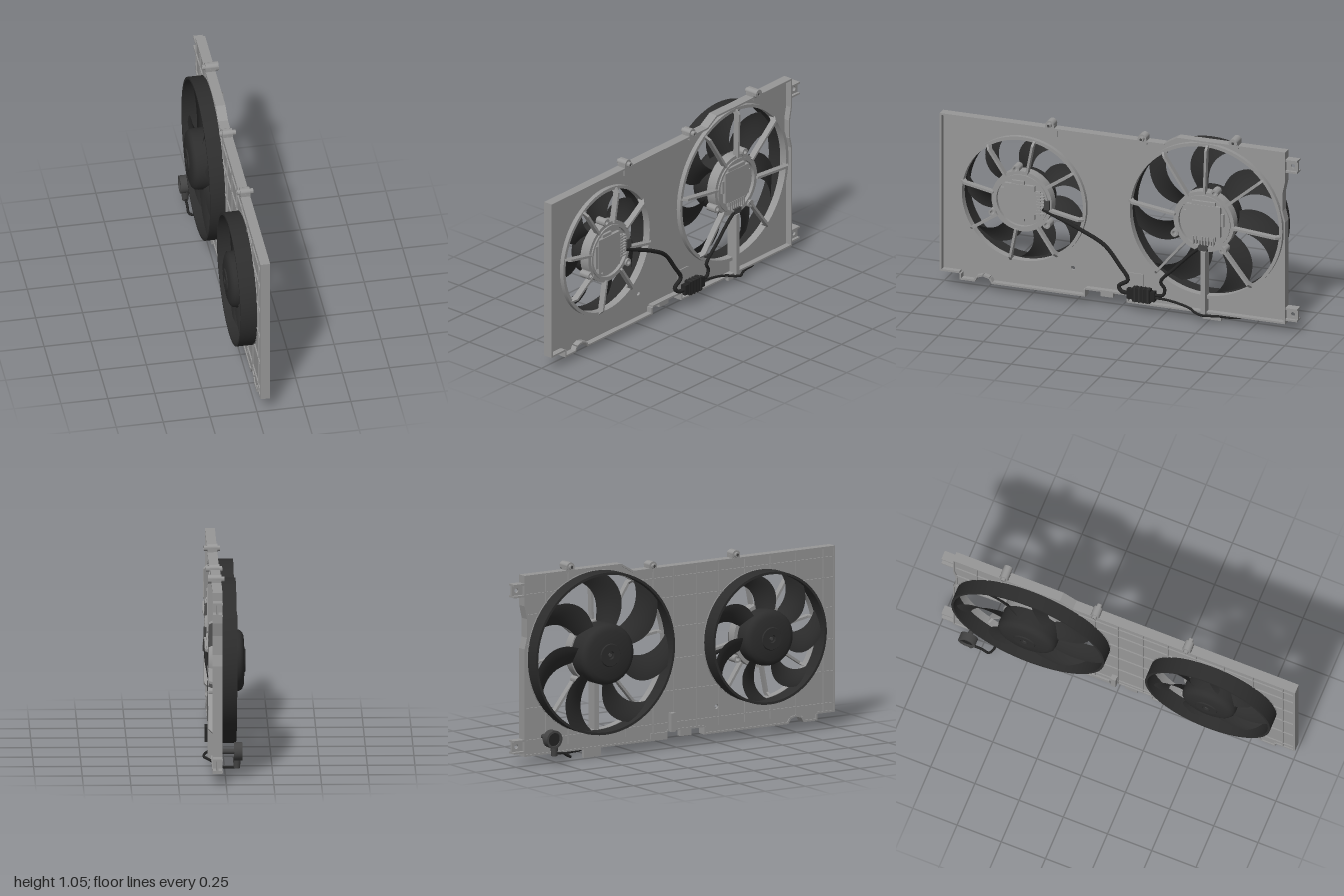
import * as THREE from 'three';
import { toCreasedNormals } from 'three/addons/utils/BufferGeometryUtils.js';

const mat = (name, color, side = THREE.FrontSide) => {
  const m = new THREE.MeshStandardMaterial({ color, side });
  m.name = name;
  return m;
};

// Built lying in a plane: local x runs along the panel, y is up, z is the depth.
export function createModel() {
  const grey = mat('shroudGrey', 0x979797);
  const black = mat('fanBlack', 0x2d2d2d, THREE.DoubleSide);
  const cableBlack = mat('cableBlack', 0x242424);
  const plugGrey = mat('plugGrey', 0x444444);
  const root = new THREE.Group();
  root.name = 'dualFanShroud';
  const body = new THREE.Group();
  body.name = 'assembly';
  body.rotation.y = Math.PI / 2;
  root.add(body);

  const add = (parent, name, geo, material, x = 0, y = 0, z = 0, rz = 0) => {
    const m = new THREE.Mesh(geo, material);
    m.name = name;
    m.position.set(x, y, z);
    m.rotation.z = rz;
    parent.add(m);
    return m;
  };
  const box = (w, h, d) => new THREE.BoxGeometry(w, h, d);
  const disc = (r, d, n = 32) => new THREE.CylinderGeometry(r, r, d, n).rotateX(Math.PI / 2);
  const lathe = (pts, n = 72) => toCreasedNormals(
    new THREE.LatheGeometry(pts.map(p => new THREE.Vector2(...p)), n).rotateX(Math.PI / 2), 0.6);
  const ring = (r0, r1, z0, z1, n) => lathe([[r1, z0], [r1, z1], [r0, z1], [r0, z0], [r1, z0]], n);
  const circle = (x, y, r) => new THREE.Path().absarc(x, y, r, 0, Math.PI * 2, true);
  const polygon = pts => new THREE.Shape(pts.map(p => new THREE.Vector2(...p)));
  const extrude = (shape, depth) => new THREE.ExtrudeGeometry(shape, { depth, bevelEnabled: false, curveSegments: 48 });

  const fans = [
    { name: 'smallFan', x: -0.54, y: 0.536, R: 0.354, hub: 0.15, back: -0.068, cap: -0.09, spin: 27, fins: Math.PI / 2,
      spokes: [79, 124, 169, 214, 259, 304, 349, 34], lugs: [100, 207, 322] },
    { name: 'largeFan', x: 0.48, y: 0.561, R: 0.433, hub: 0.163, back: -0.06, cap: -0.112, spin: 38, fins: 0,
      spokes: [88, 123, 172, 230, 308, 355, 40], lugs: [70, 207, 307] },
  ];

  // Shroud panel with two openings: a shallow tray open to the front
  const outline = [[-1, 0.08], [-0.89, 0.08], [-0.89, 0.045], [-0.805, 0.045], [-0.79, 0.07], [-0.758, 0.08],
    [-0.725, 0.07], [-0.71, 0.045], [-0.185, 0.045], [-0.185, 0.085], [0.045, 0.085], [0.045, 0.045],
    [0.935, 0.045], [0.935, 0.62], [0.92, 0.68], [0.92, 0.78], [0.935, 0.85], [0.935, 1.013],
    [0.33, 1.013], [0.255, 0.968], [-1, 0.968]];
  const panel = polygon(outline);
  fans.forEach(f => panel.holes.push(circle(f.x, f.y, f.R - 0.01)));
  panel.holes.push(circle(-0.265, 0.185, 0.012));
  add(body, 'shroudPanel', extrude(panel, 0.014), grey, 0, 0, 0.024);

  // Rim wall following the panel outline
  outline.forEach(([x0, y0], i) => {
    const [x1, y1] = outline[(i + 1) % outline.length];
    const dx = x1 - x0, dy = y1 - y0, len = Math.hypot(dx, dy);
    add(body, 'rimWall', box(len, 0.01, 0.052), grey,
      (x0 + x1) / 2 - dy / len * 0.005, (y0 + y1) / 2 + dx / len * 0.005, 0.044, Math.atan2(dy, dx));
  });

  // Shallow stiffening ribs on the back, interrupted at the openings
  const rib = (at, from, to, vertical) => {
    const cuts = fans.map(f => {
      const d = at - (vertical ? f.x : f.y), c = vertical ? f.y : f.x;
      const h = Math.abs(d) < f.R ? Math.sqrt(f.R * f.R - d * d) : 0;
      return h ? [c - h, c + h] : null;
    }).filter(Boolean);
    let start = from;
    [...cuts, [to, to]].forEach(([a, b]) => {
      const len = a - start, mid = (a + start) / 2;
      if (len > 0.01) add(body, 'backRib', vertical ? box(0.006, len, 0.008) : box(len, 0.006, 0.008), grey,
        vertical ? at : mid, vertical ? mid : at, 0.021);
      start = Math.max(start, b);
    });
  };
  [-0.93, -0.76, -0.6, -0.44, -0.28, -0.14, 0, 0.13, 0.3, 0.66, 0.8]
    .forEach(x => rib(x, 0.085, x > 0.32 ? 1.005 : 0.96, true));
  [0.13, 0.3, 0.47, 0.64, 0.8, 0.91].forEach(y => rib(y, -0.99, 0.92, false));

  // Swept fan blade between hub and outer band
  const bladeGeometry = f => {
    const g = new THREE.PlaneGeometry(1, 1, 8, 12), p = g.attributes.position;
    for (let i = 0; i < p.count; i++) {
      const s = p.getX(i) * 2, t = p.getY(i) + 0.5;
      const r = THREE.MathUtils.lerp(f.hub - 0.01, f.R - 0.012, t);
      const sweep = 0.22 + 0.22 * t - 0.58 * t * t;
      const a = sweep + s * THREE.MathUtils.lerp(0.28, 0.2, t);
      p.setXYZ(i, r * Math.cos(a), r * Math.sin(a), -0.018 - s * (0.032 - 0.012 * t) + 0.008 * s * s);
    }
    g.computeVertexNormals();
    return g;
  };

  // Raised spoke whose outer end steps back down to the collar
  const spokeGeometry = R => extrude(polygon([[0.16, 0.054], [R - 0.035, 0.054], [R - 0.014, 0.03],
    [R - 0.004, 0.03], [R - 0.004, 0.064], [R - 0.028, 0.087], [0.16, 0.087]]), 0.013)
    .rotateX(Math.PI / 2).translate(0, 0.0065, 0);

  for (const f of fans) {
    const fan = new THREE.Group();
    fan.name = f.name;
    fan.position.set(f.x, f.y, 0);
    body.add(fan);

    // Rotor: band, blades and hub
    add(fan, 'fanBand', ring(f.R - 0.013, f.R, f.back, 0.02), black);
    const blade = bladeGeometry(f);
    for (let i = 0; i < 7; i++)
      add(fan, 'fanBlade', blade, black, 0, 0, 0, THREE.MathUtils.degToRad(f.spin) + i * Math.PI * 2 / 7);
    const h = f.hub, c = f.cap;
    add(fan, 'fanHub', lathe([[0, c + 0.012], [0.02, c + 0.012], [0.022, c], [0.058, c], [0.062, c + 0.006],
      [h - 0.035, c + 0.01], [h - 0.015, c + 0.018], [h - 0.004, c + 0.03], [h, c + 0.05], [h, 0.015]]), black);
    add(fan, 'hubBolt', disc(0.01, 0.01, 6), plugGrey, 0, 0, c + 0.01);

    // Fixed collar, spokes and motor carrier
    add(fan, 'openingCollar', ring(f.R - 0.015, f.R + 0.003, 0.02, 0.062), grey);
    add(fan, 'motorCarrier', ring(0.138, 0.169, 0.018, 0.074), grey);
    add(fan, 'carrierLip', ring(0.138, 0.15, 0.07, 0.082), grey);
    const spoke = spokeGeometry(f.R);
    f.spokes.forEach(deg => add(fan, 'spoke', spoke, grey, 0, 0, 0, THREE.MathUtils.degToRad(deg)));
    f.lugs.forEach(deg => {
      const a = THREE.MathUtils.degToRad(deg);
      add(fan, 'mountLug', ring(0.011, 0.021, 0.024, 0.084, 20), grey, 0.181 * Math.cos(a), 0.181 * Math.sin(a));
    });

    // Motor with its control cover and cooling fins
    const motor = new THREE.Group();
    motor.name = 'motor';
    motor.rotation.z = f.fins;
    fan.add(motor);
    add(motor, 'motorBody', disc(0.14, 0.048, 48), grey, 0, 0, 0.04);
    add(motor, 'controlCover', box(0.19, 0.17, 0.02), grey, 0, 0.01, 0.072);
    add(motor, 'controlCover', box(0.13, 0.22, 0.016), grey, 0, 0.005, 0.071);
    add(motor, 'controlCover', box(0.226, 0.07, 0.014), grey, 0, 0.02, 0.07);
    for (let i = 0; i < 8; i++)
      add(motor, 'coolingFin', box(0.007, 0.045, 0.02), grey, -0.056 + i * 0.016, -0.105, 0.074);
    add(motor, 'motorPlug', box(0.05, 0.03, 0.022), plugGrey, 0, -0.145, 0.078);
  }

  // Heavy lower arm running down to the foot
  add(body, 'lowerArm', box(0.026, 0.36, 0.062), grey, 0.48, 0.215, 0.057);
  add(body, 'foot', box(0.105, 0.055, 0.02), grey, 0.512, 0.0275, 0.028);
  add(body, 'lowerTab', box(0.07, 0.036, 0.03), grey, -0.072, 0.07, 0.034);
  add(body, 'lowerTab', box(0.1, 0.03, 0.012), grey, 0.1, 0.07, 0.02);
  add(body, 'rearBlock', box(0.03, 0.1, 0.03), grey, 0.02, 0.135, 0.01);
  add(body, 'connectorPad', box(0.08, 0.08, 0.008), grey, 0.09, 0.165, 0.041);
  add(body, 'topClip', box(0.07, 0.04, 0.008), grey, -0.377, 0.945, 0.066);

  // Mounting bosses on the top edge; the last one is longer
  [[-0.385, 0.985, 0.07], [0.133, 0.98, 0.07], [0.648, 1.03, 0.088]].forEach(([x, y, front]) => {
    add(body, 'topBoss', ring(0.011, 0.024, 0.018, front, 24), grey, x, y);
    add(body, 'bossBase', box(0.048, 0.03, 0.05), grey, x, y - 0.018, 0.045);
    add(body, 'bossSleeve', ring(0.008, 0.014, 0.003, 0.089, 16), grey, x, y);
    add(body, 'bossPin', disc(0.009, 0.08, 16), plugGrey, x, y, 0.046);
  });

  // Channel-shaped end brackets with bolt holes
  [0.935, 0.1].forEach(y => {
    const s = polygon([[0.93, -0.036], [1, -0.036], [1, 0.036], [0.93, 0.036]]);
    s.holes.push(circle(0.972, 0, 0.012));
    add(body, 'endBracket', extrude(s, 0.012), grey, 0, y, 0.04);
    [-1, 1].forEach(k => add(body, 'bracketFlange', box(0.065, 0.01, 0.05), grey, 0.9675, y + k * 0.031, 0.043));
  });

  // Wiring
  const cable = (pts, r) => add(body, 'cable', new THREE.TubeGeometry(
    new THREE.CatmullRomCurve3(pts.map(p => new THREE.Vector3(...p))), 80, r, 8), cableBlack);
  cable([[-0.42, 0.51, 0.078], [-0.32, 0.47, 0.08], [-0.2, 0.42, 0.078], [-0.08, 0.35, 0.065], [0, 0.25, 0.06],
    [0.05, 0.17, 0.06], [0.0, 0.13, 0.062], [0.02, 0.105, 0.07], [0.08, 0.105, 0.075]], 0.011);
  cable([[0.47, 0.42, 0.08], [0.42, 0.38, 0.078], [0.32, 0.28, 0.078], [0.24, 0.19, 0.075], [0.26, 0.15, 0.07],
    [0.25, 0.115, 0.07], [0.19, 0.11, 0.075]], 0.009);
  cable([[0.19, 0.095, 0.075], [0.28, 0.09, 0.07], [0.4, 0.065, 0.075], [0.44, 0.055, 0.1], [0.48, 0.046, 0.106],
    [0.515, 0.04, 0.085], [0.57, 0.035, 0.06], [0.64, 0.033, 0.05], [0.68, 0.032, 0.02], [0.685, 0.03, -0.03],
    [0.7, 0.035, -0.058], [0.74, 0.058, -0.06], [0.8, 0.06, -0.06]], 0.007);
  add(body, 'connectorBody', box(0.1, 0.075, 0.038), cableBlack, 0.135, 0.103, 0.075);
  add(body, 'connectorCollar', box(0.035, 0.055, 0.03), cableBlack, 0.07, 0.103, 0.075);
  add(body, 'connectorCollar', box(0.03, 0.055, 0.03), cableBlack, 0.195, 0.103, 0.075);
  for (let i = 0; i < 4; i++)
    add(body, 'connectorRib', box(0.008, 0.079, 0.041), black, 0.1 + i * 0.024, 0.103, 0.075);

  // Supply plug hanging behind the lower corner
  add(body, 'supplyPlug', ring(0.036, 0.048, -0.088, -0.045, 24), plugGrey, 0.815, 0.142);
  add(body, 'supplyPlugCore', disc(0.037, 0.03, 20), cableBlack, 0.815, 0.142, -0.064);
  add(body, 'supplyPlugNeck', new THREE.CylinderGeometry(0.022, 0.016, 0.06, 16), plugGrey, 0.8, 0.08, -0.06);
  add(body, 'supplyPlugStem', disc(0.014, 0.08, 12), plugGrey, 0.815, 0.142, -0.012);
  return root;
}
